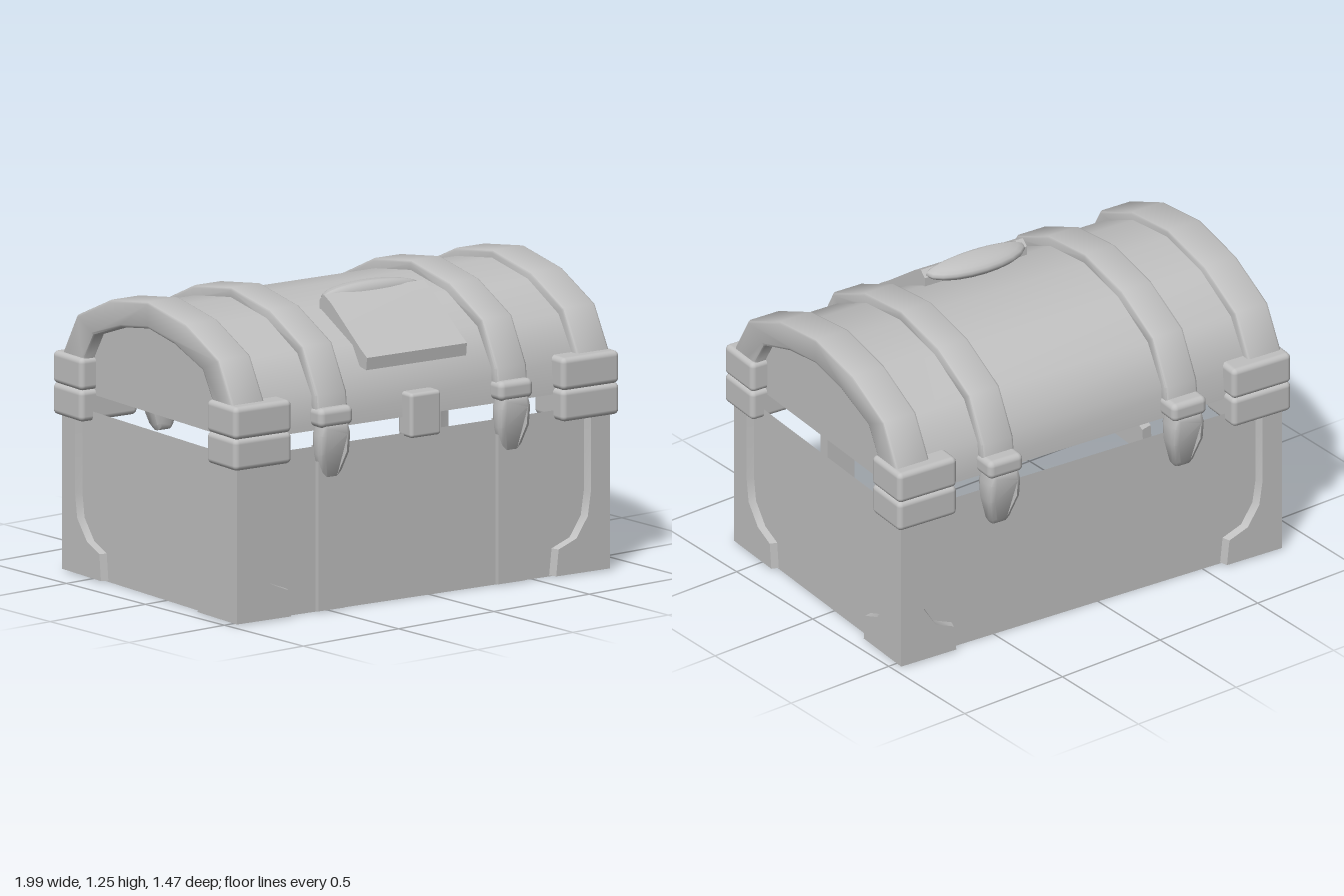
import * as THREE from 'three';
import { toCreasedNormals } from 'three/addons/utils/BufferGeometryUtils.js';
import { RoundedBoxGeometry } from 'three/addons/geometries/RoundedBoxGeometry.js';

const gray = new THREE.MeshStandardMaterial({ color: 0xc0c0c0 });
gray.name = 'plain gray';

const shapeOf = (pts) => new THREE.Shape(pts.map(([x, y]) => new THREE.Vector2(x, y)));

function add(parent, name, geometry) {
  const mesh = new THREE.Mesh(geometry, gray);
  mesh.name = name;
  parent.add(mesh);
  return mesh;
}

// Move every vertex by a rule
function reshape(geo, rule) {
  const pos = geo.attributes.position;
  const v = new THREE.Vector3();
  for (let i = 0; i < pos.count; i++) {
    rule(v.fromBufferAttribute(pos, i));
    pos.setXYZ(i, v.x, v.y, v.z);
  }
  geo.computeVertexNormals();
  return geo;
}

// Outline in x and y, extruded from z0 to z1, with an optional bevel kept inside the size
function plate(pts, z0, z1, bevel = 0, rule = () => {}) {
  const geo = new THREE.ExtrudeGeometry(shapeOf(pts), {
    depth: z1 - z0 - 2 * bevel, bevelEnabled: bevel > 0,
    bevelSize: bevel, bevelThickness: bevel, bevelOffset: -bevel, bevelSegments: 2,
  });
  geo.translate(0, 0, z0 + bevel);
  return toCreasedNormals(reshape(geo, rule), 0.8);
}

// Outline in z and y, extruded from x0 to x1
const crosswise = (pts, x0, x1, bevel = 0) => plate(pts, -x1, -x0, bevel).rotateY(-Math.PI / 2);

// Complete a half arch, listed from the bottom up to the crown
const fullArch = (half) => [...half, ...half.slice(0, -1).reverse().map(([z, y]) => [-z, y])];

function block(parent, name, x0, x1, y0, y1, z0, z1, r = 0.025) {
  const m = add(parent, name, new RoundedBoxGeometry(x1 - x0, y1 - y0, z1 - z0, 3, r));
  m.position.set((x0 + x1) / 2, (y0 + y1) / 2, (z0 + z1) / 2);
}

// L-shaped corner bracket on one face with a sloping inner edge; side is +1 or -1
function bracket(parent, half, front, foot, side) {
  const outline = [[0, 0.01], [foot, 0.01], [foot - 0.012, 0.12], [foot - 0.1, 0.155],
    [0.125, 0.24], [0.11, 0.34], [0.11, 0.66], [0, 0.66]];
  const slopeEdge = (v) => {
    if (v.z > front - 0.01 && Math.abs(v.x) < half - 0.05) v.x += side * 0.015;
  };
  const pts = outline.map(([a, y]) => [side * (half - a), y]);
  add(parent, 'cornerBracket', plate(pts, front - 0.05, front, 0, slopeEdge));
}

export function createModel() {
  const model = new THREE.Group();
  model.name = 'chest';
  const chest = new THREE.Group();
  chest.name = 'turnedChest';
  chest.rotation.y = -0.09;
  model.add(chest);

  // Lower box, open at the top
  const box = new THREE.BoxGeometry(1.77, 0.685, 1.18);
  box.setIndex([...box.index.array].filter((_, i) => i < 12 || i > 17));
  add(chest, 'body', box).position.y = 0.3475;

  // Rounded lid
  const lid = fullArch([[0.585, 0.755], [0.575, 0.9], [0.475, 1.055], [0.255, 1.16], [0, 1.2]]);
  add(chest, 'lid', crosswise(lid, -0.87, 0.87));

  // Heavy arches at both ends
  const outer = fullArch([[0.62, 0.8], [0.61, 0.905], [0.505, 1.085], [0.27, 1.19], [0, 1.232]]);
  const inner = fullArch([[0.455, 0.8], [0.455, 0.915], [0.39, 1.02], [0.19, 1.09], [0, 1.12]]);
  const ring = [...outer, ...inner.reverse()];
  add(chest, 'endArchLeft', crosswise(ring, 0.765, 0.925, 0.012));
  add(chest, 'endArchRight', crosswise(ring, -0.925, -0.765, 0.012));

  // Straps over the lid and down the front
  const strapOuter = fullArch([[0.625, 0.8], [0.612, 0.905], [0.508, 1.09], [0.272, 1.198], [0, 1.24]]);
  const strapInner = fullArch([[0.55, 0.8], [0.54, 0.9], [0.45, 1.03], [0.24, 1.13], [0, 1.17]]).reverse();
  for (const x of [-0.441, 0.441]) {
    add(chest, 'lidStrap', crosswise([...strapOuter, ...strapInner], x - 0.075, x + 0.075, 0.012));
    const strap = add(chest, 'frontStrap', new THREE.BoxGeometry(0.13, 0.68, 0.05));
    strap.position.set(x, 0.35, 0.588);
  }

  // Front and back hardware
  for (const back of [0, 1]) {
    const face = new THREE.Group();
    face.name = back ? 'backHardware' : 'frontHardware';
    face.rotation.y = back * Math.PI;
    chest.add(face);
    const out = back ? 0.68 : 0.653;
    // Tongues grow thinner towards the tip
    const thin = (v) => {
      if (v.z > 0.6) v.z -= 0.045 * Math.max(0, (0.68 - v.y) / 0.145);
    };
    for (const s of [-1, 1]) {
      const x = s * 0.441;
      // Strap buckle and pointed tongue
      block(face, 'buckle', x - 0.083, x + 0.083, 0.772, 0.853, 0.56, out);
      const tongue = [[-0.062, 0.79], [-0.075, 0.74], [-0.073, 0.66], [-0.046, 0.555], [-0.03, 0.532],
        [0.03, 0.532], [0.046, 0.555], [0.073, 0.66], [0.075, 0.74], [0.062, 0.79]];
      add(face, 'tongue', plate(tongue, 0.57, out - 0.003, 0.022, thin)).position.x = x;
      // Stacked corner clamps
      for (const [y0, y1] of [[0.65, 0.782], [0.779, 0.914]]) {
        const [x0, x1] = [s * 0.662, s * 0.944].sort((a, b) => a - b);
        block(face, 'cornerClamp', x0, x1, y0, y1, 0.445, 0.655, 0.022);
      }
      bracket(face, 0.915, 0.625, 0.28, s);
    }
    // Brackets on the end faces
    const end = new THREE.Group();
    end.name = 'endBrackets';
    end.rotation.y = Math.PI / 2;
    face.add(end);
    for (const s of [-1, 1]) bracket(end, 0.625, 0.915, 0.295, s);
  }

  // Front clasp
  block(chest, 'clasp', -0.075, 0.075, 0.675, 0.86, 0.55, 0.645, 0.015);

  // Sloping plate on the lid
  const slope = [[0.24, 1.2], [0.27, 1.225], [0.32, 1.2], [0.53, 1.05], [0.578, 1.02],
    [0.572, 0.968], [0.53, 0.975], [0.42, 1.05], [0.24, 1.13]];
  add(chest, 'lidPlate', crosswise(slope, -0.245, 0.245));

  // Rounded flap behind the plate's top edge, flattened towards the front
  const flapShape = reshape(new THREE.SphereGeometry(1, 20, 12), (v) => {
    v.set(v.x * 0.235, v.y * 0.045, v.z * (v.z > 0 ? 0.035 : 0.1));
  });
  add(chest, 'plateFlap', flapShape).position.set(0, 1.207, 0.25);

  return model;
}
